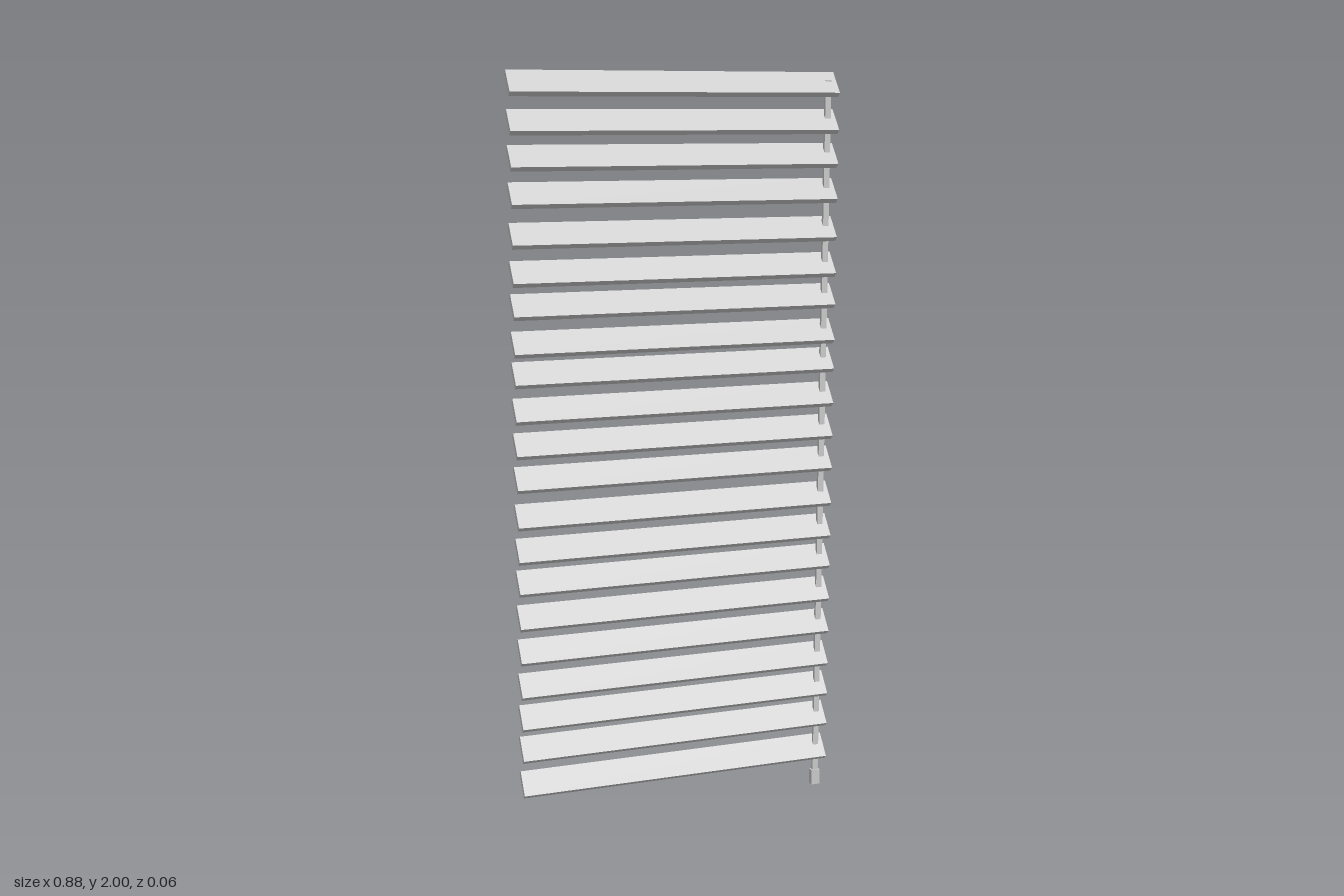
import * as THREE from 'three';

export function createModel() {
  const group = new THREE.Group();
  group.name = 'windowBlind';
  const material = new THREE.MeshStandardMaterial({ color: 0xcccccc, flatShading: true });

  function addBox(name, w, h, d, x, y, z) {
    const mesh = new THREE.Mesh(new THREE.BoxGeometry(w, h, d), material);
    mesh.name = name;
    mesh.position.set(x, y, z);
    group.add(mesh);
    return mesh;
  }

  // Tilted slats, slightly unevenly spaced, upper edge leaning back
  const tilt = THREE.MathUtils.degToRad(49);
  const width = 0.071, thickness = 0.017;
  const halfHeight = (width * Math.sin(tilt) + thickness * Math.cos(tilt)) / 2;
  const slatTops = [
    2.0, 1.905, 1.817, 1.725, 1.624, 1.528, 1.444, 1.348, 1.269, 1.174, 1.083,
    0.993, 0.893, 0.8, 0.713, 0.617, 0.522, 0.426, 0.336, 0.246, 0.146,
  ];
  slatTops.forEach((top, i) => {
    const slat = addBox(`slat${i + 1}`, 0.882, thickness, width, 0, top - halfHeight, 0);
    slat.rotation.x = tilt;
  });

  // Pull rod threading the slats, with a weight at its lower end
  const rodX = 0.419, rodTop = 1.979, weightHeight = 0.044;
  addBox('pullRod', 0.016, rodTop - weightHeight, 0.01, rodX, (rodTop + weightHeight) / 2, 0);
  addBox('rodWeight', 0.025, weightHeight, 0.017, rodX, weightHeight / 2, 0);

  return group;
}
